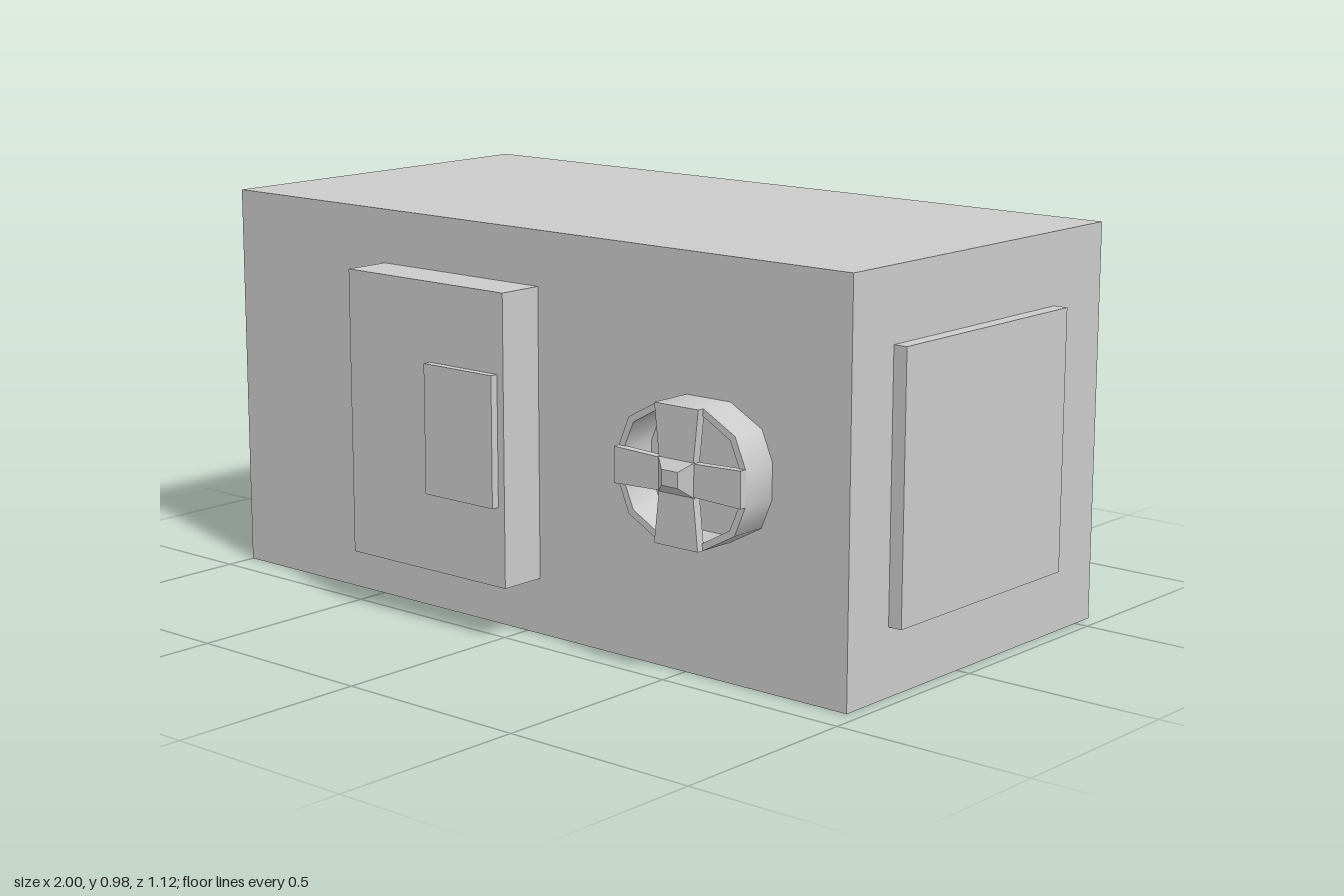
import * as THREE from 'three';
import { toCreasedNormals } from 'three/addons/utils/BufferGeometryUtils.js';

const material = new THREE.MeshStandardMaterial({ color: 0xcccccc });

function addMesh(parent, name, geometry) {
  const mesh = new THREE.Mesh(geometry, material);
  mesh.name = name;
  parent.add(mesh);
  return mesh;
}

// Box given by its lower and upper limits on each axis
function addBox(parent, name, [x0, x1], [y0, y1], [z0, z1]) {
  const box = addMesh(parent, name, new THREE.BoxGeometry(x1 - x0, y1 - y0, z1 - z0));
  box.position.set((x0 + x1) / 2, (y0 + y1) / 2, (z0 + z1) / 2);
}

// Mirrors one quadrant of points (from the +x side to the +y side) into a closed loop
function mirrorQuadrant(points) {
  const flip = (sx, sy) => points.map(([x, y]) => new THREE.Vector2(x * sx, y * sy));
  return [...flip(1, 1), ...flip(-1, 1).reverse(), ...flip(-1, -1), ...flip(1, -1).reverse()];
}

function extrude(shape, depth) {
  return new THREE.ExtrudeGeometry(shape, { depth, bevelEnabled: false });
}

export function createModel() {
  const model = new THREE.Group();
  model.name = 'boxUnit';

  // Main body and its raised panels
  addBox(model, 'body', [-1, 0.965], [0, 0.982], [-0.56, 0.42]);
  addBox(model, 'frontPanel', [-0.475, 0.043], [0.138, 0.848], [0.42, 0.54]);
  addBox(model, 'frontPlate', [-0.2, 0.023], [0.333, 0.653], [0.54, 0.56]);
  addBox(model, 'sidePanel', [0.965, 1], [0.165, 0.805], [-0.365, 0.27]);

  // Round vent on the front
  const vent = new THREE.Group();
  vent.name = 'vent';
  vent.position.set(0.565, 0.492, 0.42);
  model.add(vent);

  const ringShape = new THREE.Shape(mirrorQuadrant([[0.185, 0.043], [0.155, 0.113], [0.064, 0.162]]));
  ringShape.holes.push(new THREE.Path(mirrorQuadrant([[0.168, 0.041], [0.141, 0.102], [0.061, 0.146]])));
  addMesh(vent, 'ventRing', toCreasedNormals(extrude(ringShape, 0.094), 0.7));

  // Cross bars, widening towards the rim
  const crossShape = new THREE.Shape(mirrorQuadrant([[0.185, 0.043], [0.05, 0.038], [0.064, 0.162]]));
  addMesh(vent, 'ventCross', extrude(crossShape, 0.022)).position.z = 0.089;

  // Tapered centre cap
  const cap = new THREE.CylinderGeometry(0.45, 1, 1, 4, 1).toNonIndexed();
  cap.rotateY(Math.PI / 4).rotateX(Math.PI / 2).scale(0.075, 0.058, 0.023);
  cap.computeVertexNormals();
  addMesh(vent, 'ventCap', cap).position.z = 0.1215;

  return model;
}
